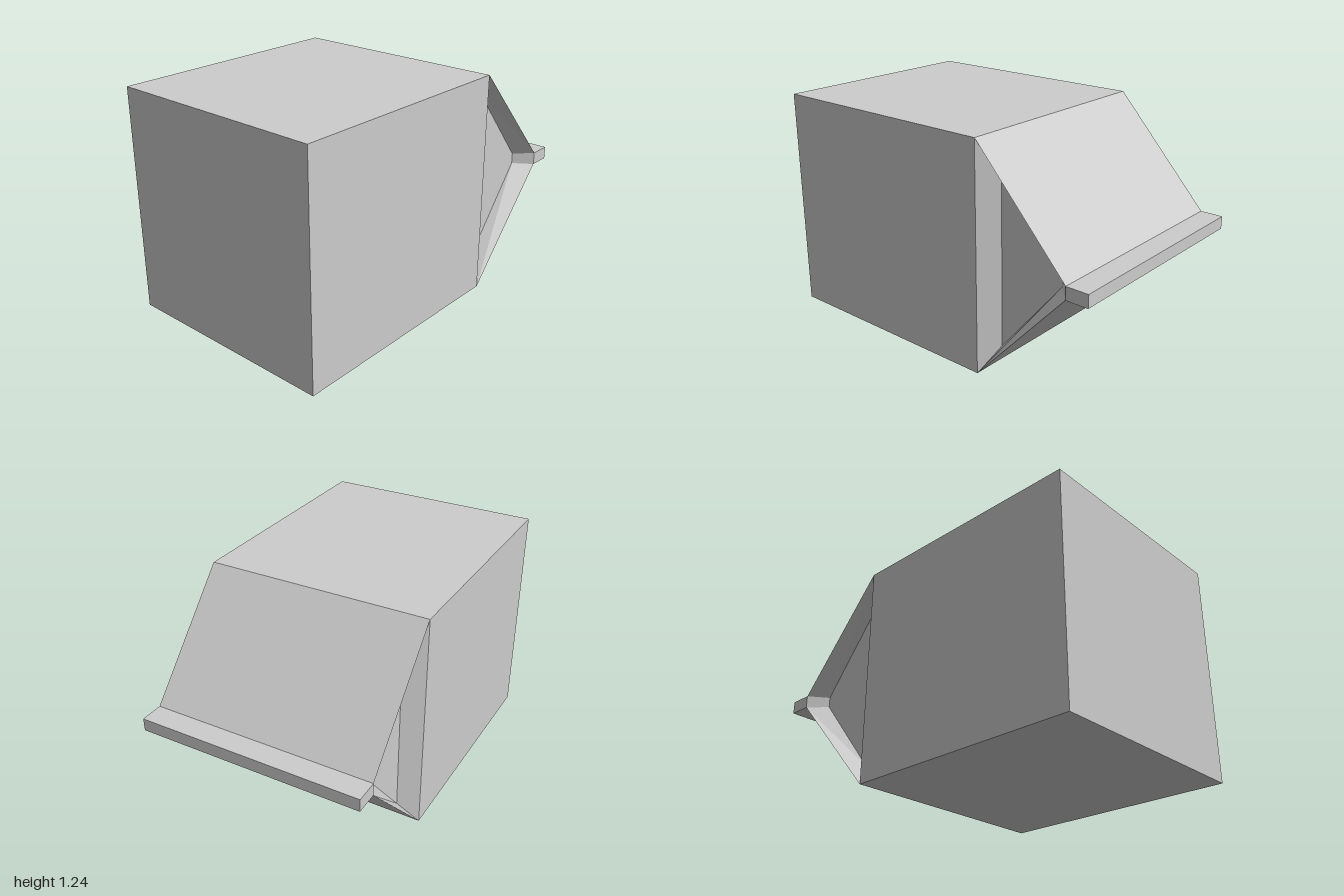
import * as THREE from 'three';

const W = 0.615; // half width
const INSET = 0.095; // depth of the folded side gussets

// Side outlines as [z, y], counter-clockwise seen from +x
const bodySide = [[1, 0], [-0.34, 0], [-0.34, 1.235], [1, 1.235]];
const gableSide = [[-0.34, 0], [-0.875, 0.583], [-0.875, 0.653], [-0.34, 1.235]];
const gussetSide = [[-0.422, 0.145], [-0.79, 0.59], [-0.79, 0.648], [-0.422, 1.09]];
const flapSide = [[-0.875, 0.583], [-1, 0.583], [-1, 0.653], [-0.875, 0.653]];

// Flat-shaded mesh from four-cornered panels
function panels(name, quads, material) {
  const points = quads.flatMap(([a, b, c, d]) => [a, b, c, a, c, d]);
  const geometry = new THREE.BufferGeometry();
  geometry.setAttribute('position', new THREE.Float32BufferAttribute(points.flat(), 3));
  geometry.computeVertexNormals();
  const mesh = new THREE.Mesh(geometry, material);
  mesh.name = name;
  return mesh;
}

const at = (x, [z, y]) => [x, y, z];

// Panel running across the full width along edge i of an outline
function across(outline, i) {
  const a = outline[i], b = outline[(i + 1) % 4];
  return [at(W, a), at(-W, a), at(-W, b), at(W, b)];
}

// Flat end panel on the side s
function end(outline, s, x = W) {
  const quad = outline.map(p => at(s * x, p));
  return s > 0 ? quad : quad.reverse();
}

export function createModel() {
  const card = new THREE.MeshStandardMaterial({ color: 0xcccccc });
  card.name = 'plain grey card';
  const group = new THREE.Group();
  group.name = 'carton';

  // Box body: base, top, front and both sides
  group.add(panels('body', [0, 2, 3].map(i => across(bodySide, i))
    .concat([end(bodySide, 1), end(bodySide, -1)]), card));

  // Two sloping gable panels
  group.add(panels('gable', [across(gableSide, 0), across(gableSide, 2)], card));

  // Sealed flap along the ridge
  group.add(panels('flap', [0, 1, 2].map(i => across(flapSide, i))
    .concat([end(flapSide, 1), end(flapSide, -1)]), card));

  // Recessed gusset on each side, framed by four slanted strips
  for (const s of [1, -1]) {
    const quads = [end(gussetSide, s, W - INSET)];
    for (let i = 0; i < 4; i++) {
      const j = (i + 1) % 4;
      const strip = [
        at(s * W, gableSide[i]), at(s * W, gableSide[j]),
        at(s * (W - INSET), gussetSide[j]), at(s * (W - INSET), gussetSide[i]),
      ];
      quads.push(s > 0 ? strip : strip.reverse());
    }
    group.add(panels(s > 0 ? 'leftGusset' : 'rightGusset', quads, card));
  }
  return group;
}
